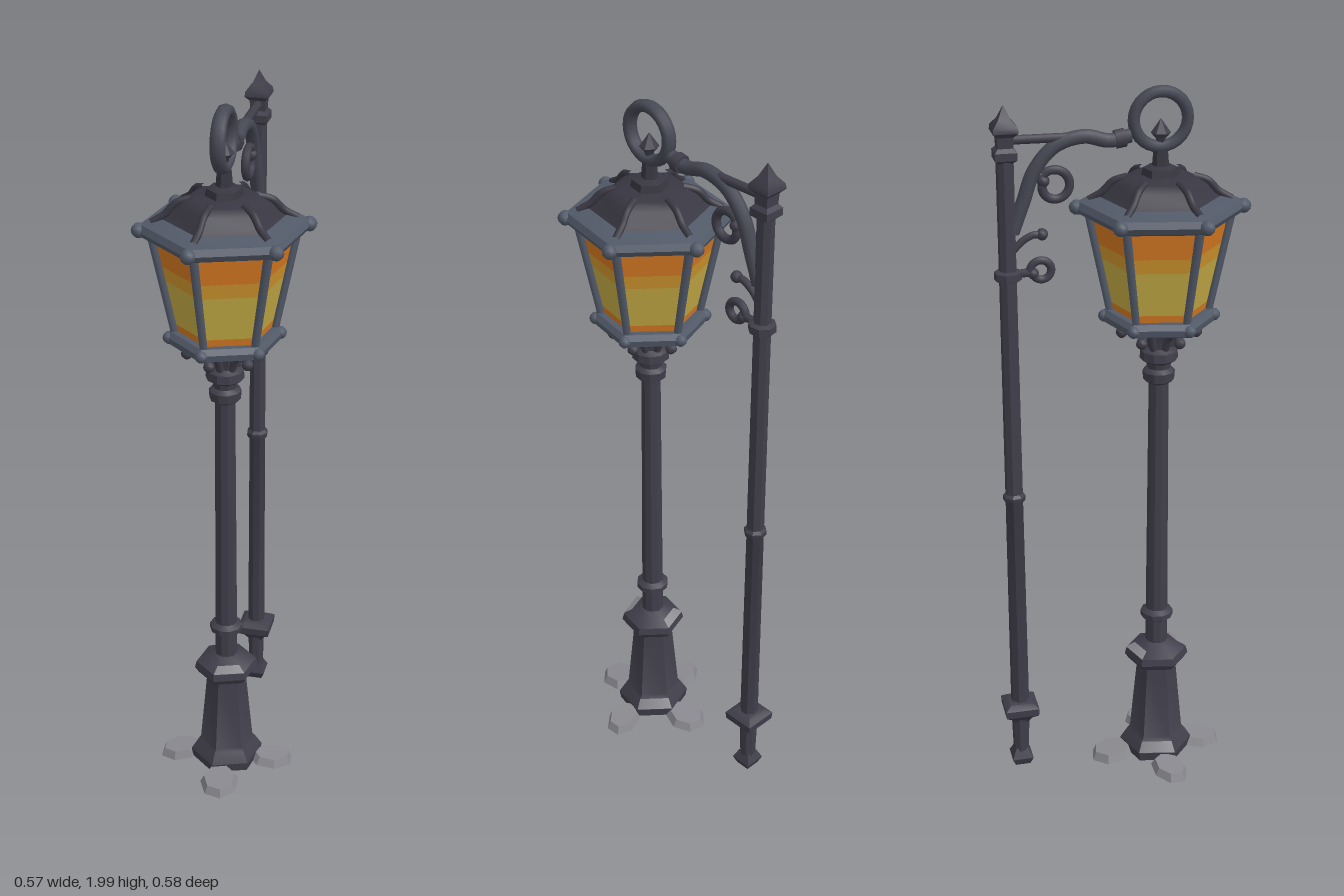
import * as THREE from 'three';
import { toCreasedNormals } from 'three/addons/utils/BufferGeometryUtils.js';

const mat = (name, color) => Object.assign(new THREE.MeshStandardMaterial({ color }), { name });
const V = (x, y, z = 0) => new THREE.Vector3(x, y, z);

export function createModel() {
  const iron = mat('dark iron', 0x403e4a);
  const roofIron = mat('roof iron', 0x383742);
  const steel = mat('worn blue steel', 0x525a69);
  const armIron = mat('bracket iron', 0x464854);
  const stone = mat('grey stone', 0x8a898f);
  const orange = mat('orange glass', 0xd97a22);
  const amber = mat('amber glass', 0xd0962e);
  const yellow = mat('yellow glass', 0xc4ab45);

  const model = new THREE.Group();
  const add = (parent, name, geo, material) => {
    const mesh = new THREE.Mesh(geo, material);
    mesh.name = name;
    parent.add(mesh);
    return mesh;
  };
  // Turned profile of [radius, height] pairs with crisp edges
  const turned = (parent, name, pts, sides, material, start = Math.PI / 6) =>
    add(parent, name, toCreasedNormals(new THREE.LatheGeometry(
      pts.map(p => new THREE.Vector2(p[0], p[1])), sides, start), 0.6), material);
  // Straight bar between two points
  const bar = (parent, name, a, b, r0, r1, material, sides = 6) => {
    const m = add(parent, name, new THREE.CylinderGeometry(r1, r0, a.distanceTo(b), sides), material);
    m.position.copy(a).add(b).multiplyScalar(0.5);
    m.quaternion.setFromUnitVectors(V(0, 1, 0), b.clone().sub(a).normalize());
    return m;
  };
  const tube = (parent, name, pts, r, material) =>
    add(parent, name, new THREE.TubeGeometry(new THREE.CatmullRomCurve3(pts), 28, r, 8), material);
  const ball = (parent, name, p, r, material) => {
    const m = add(parent, name, new THREE.SphereGeometry(r, 8, 6), material);
    m.position.copy(p);
    return m;
  };

  // ---- Street lamp ----
  const lamp = new THREE.Group();
  lamp.name = 'streetLamp';
  lamp.position.set(0.05, 0, 0.085);
  model.add(lamp);

  turned(lamp, 'pedestal', [[0, 0.015], [0.1, 0.018], [0.104, 0.045], [0.085, 0.075], [0.076, 0.085],
    [0.055, 0.315], [0.08, 0.318], [0.091, 0.335], [0.086, 0.355], [0.06, 0.37], [0.035, 0.385], [0, 0.385]], 6, iron);
  turned(lamp, 'shaft', [[0.032, 0.38], [0.031, 0.455], [0.046, 0.465], [0.046, 0.48], [0.031, 0.49],
    [0.027, 1.19], [0.042, 1.2], [0.044, 1.225], [0.032, 1.235], [0.034, 1.25], [0.052, 1.262], [0.05, 1.285],
    [0.034, 1.295], [0.04, 1.34], [0.06, 1.375]], 10, iron);

  // Worn pale chips on the pedestal ledges
  [[0.088, 0.357, 0.062, 0.371, 0.4, 1.1], [0.088, 0.357, 0.062, 0.371, 3.3, 0.9],
    [0.105, 0.047, 0.087, 0.076, 1.7, 0.9], [0.105, 0.047, 0.087, 0.076, 4.7, 0.8]].forEach(c => {
    const sector = Math.round(c[4] / (Math.PI / 3)) * Math.PI / 3 + Math.PI / 6;
    const geo = new THREE.LatheGeometry([new THREE.Vector2(c[0], c[1]), new THREE.Vector2(c[2], c[3])], 1, sector, Math.PI / 3);
    add(lamp, 'wornChip', geo, stone);
  });

  // Loose flagstones around the foot
  for (let i = 0; i < 4; i++) {
    const a = Math.PI / 4 + i * Math.PI / 2;
    const geo = new THREE.CylinderGeometry(0.045, 0.056, 0.024, 7);
    const s = add(lamp, 'flagstone', toCreasedNormals(geo, 0.5), stone);
    s.scale.set(1.15, 1, i % 2 ? 0.85 : 1);
    s.position.set(Math.cos(a) * 0.135, 0.024, Math.sin(a) * 0.135);
    s.rotation.set(0, -a + 0.3 * (i % 2), -0.1);
  }

  // Hexagonal lantern
  turned(lamp, 'lanternFloor', [[0, 1.36], [0.13, 1.36], [0.153, 1.37], [0.157, 1.388], [0.145, 1.402], [0, 1.402]], 6, steel);
  const glassR = y => 0.125 + (y - 1.4) / 0.26 * 0.055;
  [[1.4, 1.422, orange], [1.422, 1.545, yellow], [1.545, 1.585, amber], [1.585, 1.665, orange]].forEach(([a, b, m]) =>
    turned(lamp, 'glassBand', [[glassR(a), a], [glassR(b), b]], 6, m));
  turned(lamp, 'eave', [[0, 1.655], [0.185, 1.655], [0.214, 1.666], [0.224, 1.682], [0.214, 1.699],
    [0.16, 1.712]], 6, steel);
  turned(lamp, 'roof', [[0.17, 1.7], [0.142, 1.72], [0.122, 1.747], [0.1, 1.762], [0.05, 1.768],
    [0.046, 1.787], [0.022, 1.793], [0.018, 1.84], [0, 1.84]], 6, roofIron);

  for (let i = 0; i < 6; i++) {
    const g = new THREE.Group();
    g.name = 'lanternCorner';
    g.rotation.y = i * Math.PI / 3;
    lamp.add(g);
    bar(g, 'cornerBar', V(0.13, 1.39), V(0.186, 1.67), 0.011, 0.013, steel);
    ball(g, 'eaveKnob', V(0.217, 1.683), 0.02, steel);
    ball(g, 'floorKnob', V(0.146, 1.383), 0.017, steel);
    tube(g, 'roofRib', [V(0.185, 1.703), V(0.15, 1.724), V(0.122, 1.752), V(0.085, 1.764)], 0.01, roofIron);
    // Curled leaf bracket below the floor
    tube(g, 'leafBracket', [V(0.03, 1.295), V(0.05, 1.335), V(0.08, 1.355), V(0.1, 1.335)], 0.011, iron);
    ball(g, 'leafTip', V(0.1, 1.335), 0.016, iron);
  }

  // ---- Bracket post with hanging arm: local +x points to the lamp ----
  const bracket = new THREE.Group();
  bracket.name = 'bracketPost';
  bracket.position.set(-0.215, 0, -0.22);
  bracket.rotation.y = -Math.atan2(0.305, 0.265);
  model.add(bracket);
  const reach = 0.404;
  const diamond = Math.PI / 4;

  turned(bracket, 'post', [[0.022, 0.05], [0.026, 0.2], [0.024, 0.87], [0.031, 0.88], [0.031, 0.892], [0.024, 0.9],
    [0.023, 1.51], [0.036, 1.515], [0.036, 1.535], [0.023, 1.54], [0.023, 1.86]], 8, iron);
  turned(bracket, 'postFoot', [[0, 0.018], [0.03, 0.022], [0.043, 0.045], [0.024, 0.075]], 4, iron, diamond);
  turned(bracket, 'postCollar', [[0.026, 0.165], [0.042, 0.185], [0.066, 0.2], [0.068, 0.222], [0.045, 0.235], [0.02, 0.238]], 4, iron, diamond);
  turned(bracket, 'postCap', [[0.023, 1.825], [0.04, 1.835], [0.04, 1.855], [0.028, 1.865], [0.03, 1.893],
    [0.046, 1.905], [0.044, 1.918], [0.022, 1.938], [0, 1.972]], 4, iron, diamond);

  // Swan-neck arm and its strut
  tube(bracket, 'arm', [V(0.015, 1.64), V(0.045, 1.72), V(0.075, 1.8), V(0.13, 1.86), V(0.205, 1.88),
    V(0.27, 1.865), V(0.325, 1.875)], 0.019, armIron);
  bar(bracket, 'strut', V(0, 1.882), V(0.17, 1.88), 0.012, 0.012, iron, 8);
  bar(bracket, 'armCollar', V(0.285, 1.867), V(0.31, 1.871), 0.025, 0.025, iron, 8);

  // Hanging ring and spike finial
  const ring = add(bracket, 'hangingRing', new THREE.TorusGeometry(0.071, 0.016, 8, 28), armIron);
  ring.position.set(reach, 1.913, 0);
  ring.scale.z = 1.25;
  turned(lamp, 'finial', [[0.01, 1.835], [0.012, 1.862], [0.026, 1.878], [0, 1.915]], 6, iron);

  // Spiral scrolls
  const scroll = (cx, cy, r, start, turns, thick) => {
    const pts = [];
    for (let i = 0; i <= 16; i++) {
      const a = start + i / 16 * turns * Math.PI * 2, q = r * (1 - 0.25 * i / 16);
      pts.push(V(cx + Math.cos(a) * q, cy + Math.sin(a) * q));
    }
    tube(bracket, 'scroll', pts, thick, iron);
    ball(bracket, 'scrollTip', pts[16], thick * 1.4, iron);
  };
  scroll(0.127, 1.757, 0.043, 2.4, -0.95, 0.012);
  scroll(0.088, 1.532, 0.03, 3.1, -0.95, 0.011);
  bar(bracket, 'scrollLink', V(0.015, 1.527), V(0.062, 1.53), 0.011, 0.011, iron);
  tube(bracket, 'lowerCurl', [V(0.015, 1.59), V(0.04, 1.615), V(0.07, 1.63), V(0.09, 1.628)], 0.01, iron);
  ball(bracket, 'curlTip', V(0.092, 1.63), 0.016, iron);

  return model;
}
